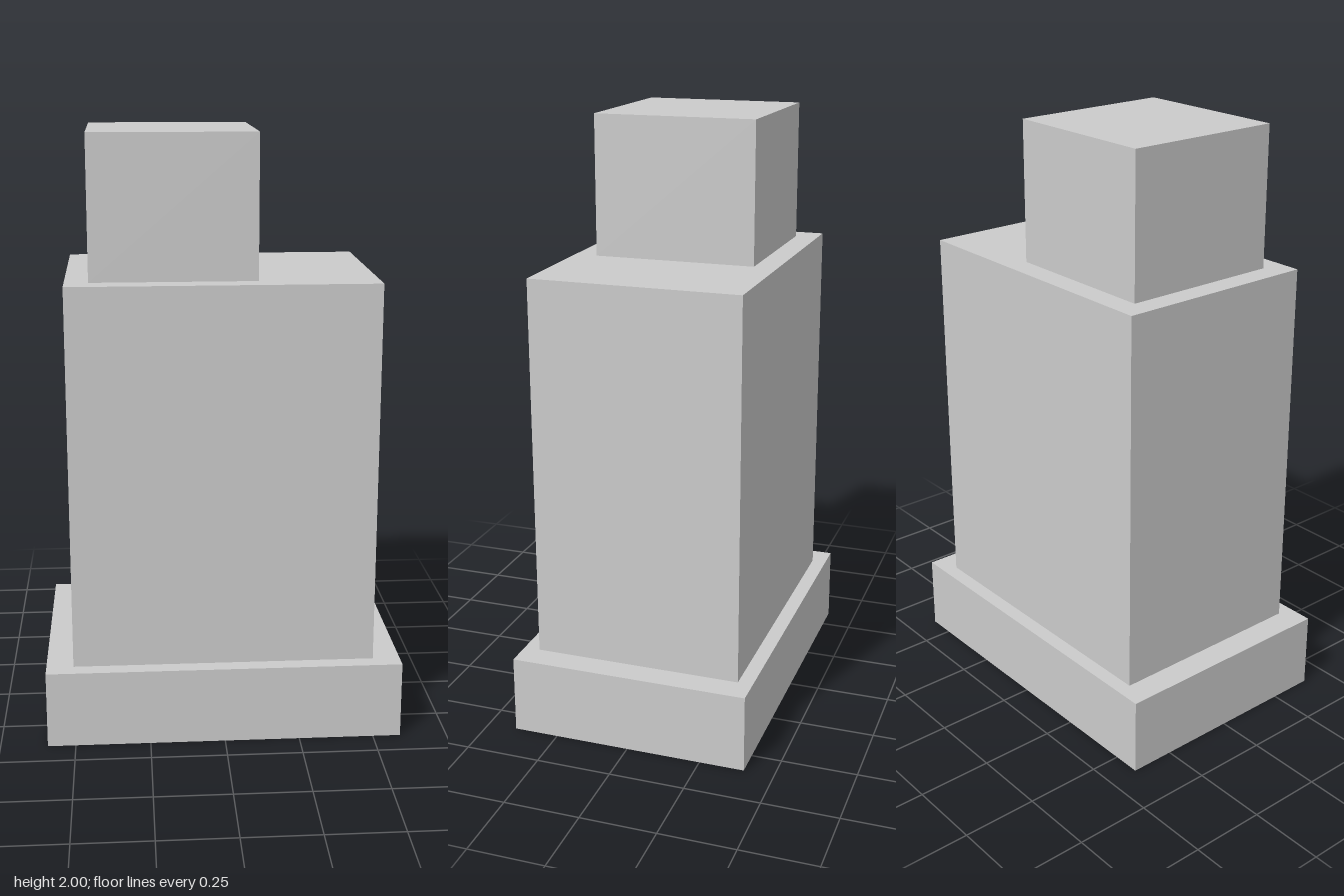
import * as THREE from 'three';

const material = new THREE.MeshStandardMaterial({ color: 0xcccccc, flatShading: true });

// Box given by its extents along each axis
function block(name, [x0, x1], [y0, y1], [z0, z1]) {
  const mesh = new THREE.Mesh(new THREE.BoxGeometry(x1 - x0, y1 - y0, z1 - z0), material);
  mesh.position.set((x0 + x1) / 2, (y0 + y1) / 2, (z0 + z1) / 2);
  mesh.name = name;
  return mesh;
}

export function createModel() {
  const group = new THREE.Group();
  group.name = 'steppedTower';
  group.add(
    // wide plinth
    block('base', [-0.593, 0.593], [0, 0.26], [-0.4, 0.4]),
    // tall main volume
    block('body', [-0.503, 0.502], [0.26, 1.535], [-0.35, 0.346]),
    // off-centre block on the roof
    block('topBlock', [-0.426, 0.114], [1.535, 2], [-0.272, 0.27])
  );
  return group;
}
